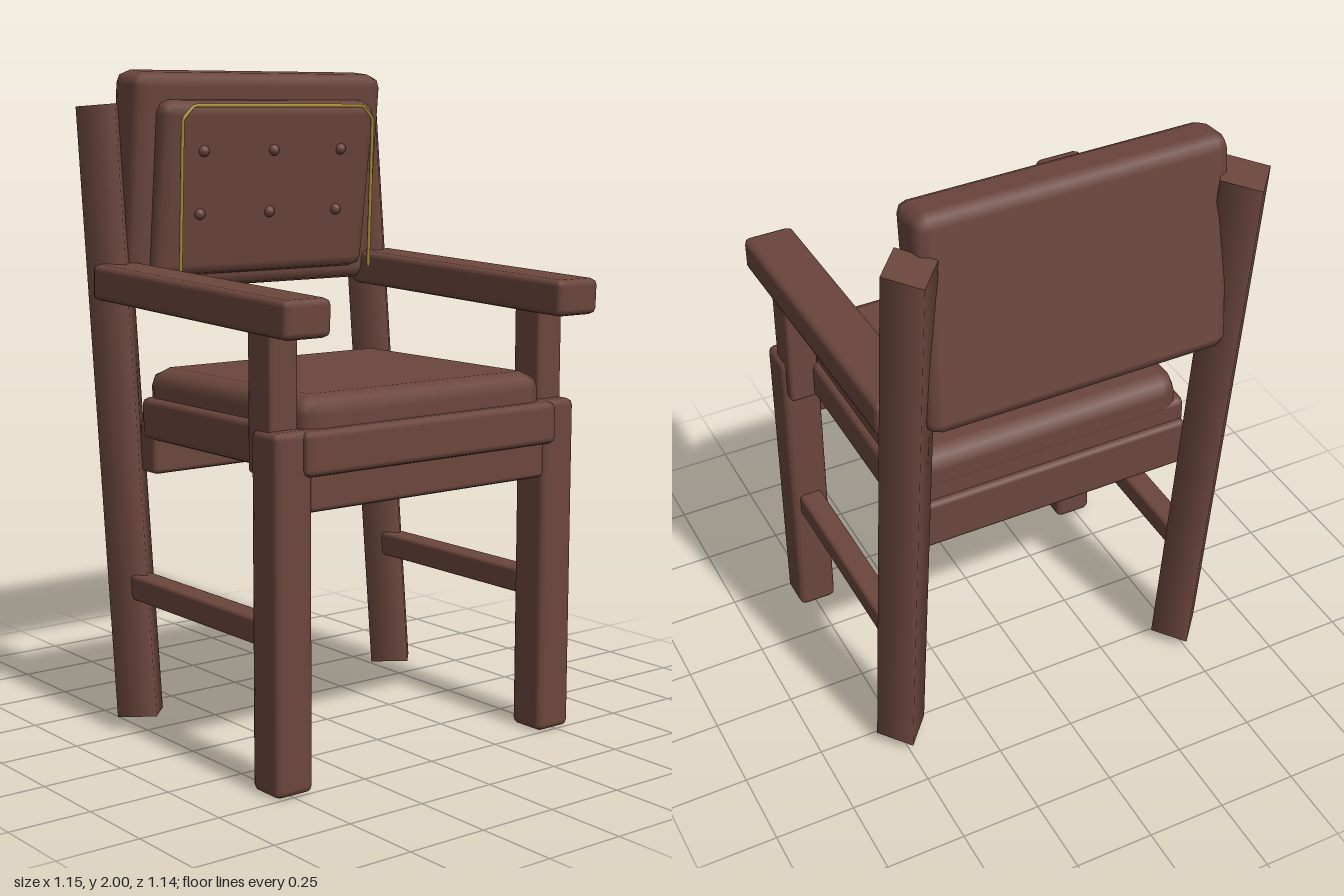
import * as THREE from 'three';
import { RoundedBoxGeometry } from 'three/addons/geometries/RoundedBoxGeometry.js';

export function createModel() {
  const model = new THREE.Group();
  model.name = 'armchair';

  const brown = new THREE.MeshStandardMaterial({ color: 0x6b463c });
  brown.name = 'brown wood and leather';
  const gold = new THREE.MeshStandardMaterial({ color: 0xa38a2e });
  gold.name = 'gold piping';

  function add(name, geometry, position, tilt = 0, material = brown) {
    const mesh = new THREE.Mesh(geometry, material);
    mesh.name = name;
    mesh.position.set(...position);
    mesh.rotation.x = tilt;
    model.add(mesh);
    return mesh;
  }

  // Box with a single-step bevel
  const block = (w, h, d, bevel) => new RoundedBoxGeometry(w, h, d, 1, bevel);

  // Seat: frame, cushion and the two rails under it
  add('seatFrame', block(0.93, 0.127, 0.84, 0.02), [0, 0.957, 0.1]);
  add('seatCushion', block(0.89, 0.15, 0.81, 0.055), [0, 1.035, 0.08]);
  add('frontRail', block(0.92, 0.16, 0.1, 0.015), [0, 0.87, 0.44]);
  add('backRail', block(0.92, 0.16, 0.09, 0.015), [0, 0.87, -0.295]);

  // Backrest panel and raised pad, both tipped forward at the top
  add('backrest', block(0.93, 0.66, 0.155, 0.04), [0, 1.665, -0.41], 0.1);
  add('backPad', block(0.8, 0.535, 0.12, 0.04), [0, 1.643, -0.345], 0.14);

  // Buttons sunk into the pad
  for (const y of [1.755, 1.565]) {
    for (const x of [-0.26, 0, 0.26]) {
      add('button', new THREE.SphereGeometry(0.018, 10, 8), [x, y, -0.285 + (y - 1.643) * 0.14]);
    }
  }

  // Open piping loop standing in front of the pad
  const outline = [[-0.36, 1.38], [-0.36, 1.85], [-0.32, 1.89], [0.32, 1.89], [0.36, 1.85], [0.36, 1.38]];
  const points = outline.map(([x, y]) => new THREE.Vector3(x, y, -0.228 + (y - 1.89) * 0.045));
  const path = new THREE.CurvePath();
  for (let i = 1; i < points.length; i++) path.add(new THREE.LineCurve3(points[i - 1], points[i]));
  add('piping', new THREE.TubeGeometry(path, 120, 0.006, 6), [0, 0, 0], 0, gold);

  // Legs, arms and stretchers, mirrored
  for (const [side, s] of [['left', 1], ['right', -1]]) {
    add(side + 'FrontLeg', block(0.125, 1.02, 0.125, 0.02), [s * 0.492, 0.512, 0.438]);

    // Diamond-section rear post running from floor to backrest
    const post = add(side + 'RearPost', new THREE.CylinderGeometry(1, 1, 1.85, 4), [s * 0.496, 0.967, -0.387], -0.1);
    post.scale.set(0.081, 1, 0.092);

    add(side + 'ArmSupport', block(0.095, 0.45, 0.11, 0.012), [s * 0.494, 1.12, 0.4]);
    add(side + 'Armrest', block(0.158, 0.108, 0.98, 0.02), [s * 0.497, 1.35, 0.081], 0.037);
    add(side + 'Stretcher', block(0.075, 0.078, 0.72, 0.012), [s * 0.492, 0.447, 0.055]);
  }

  return model;
}
